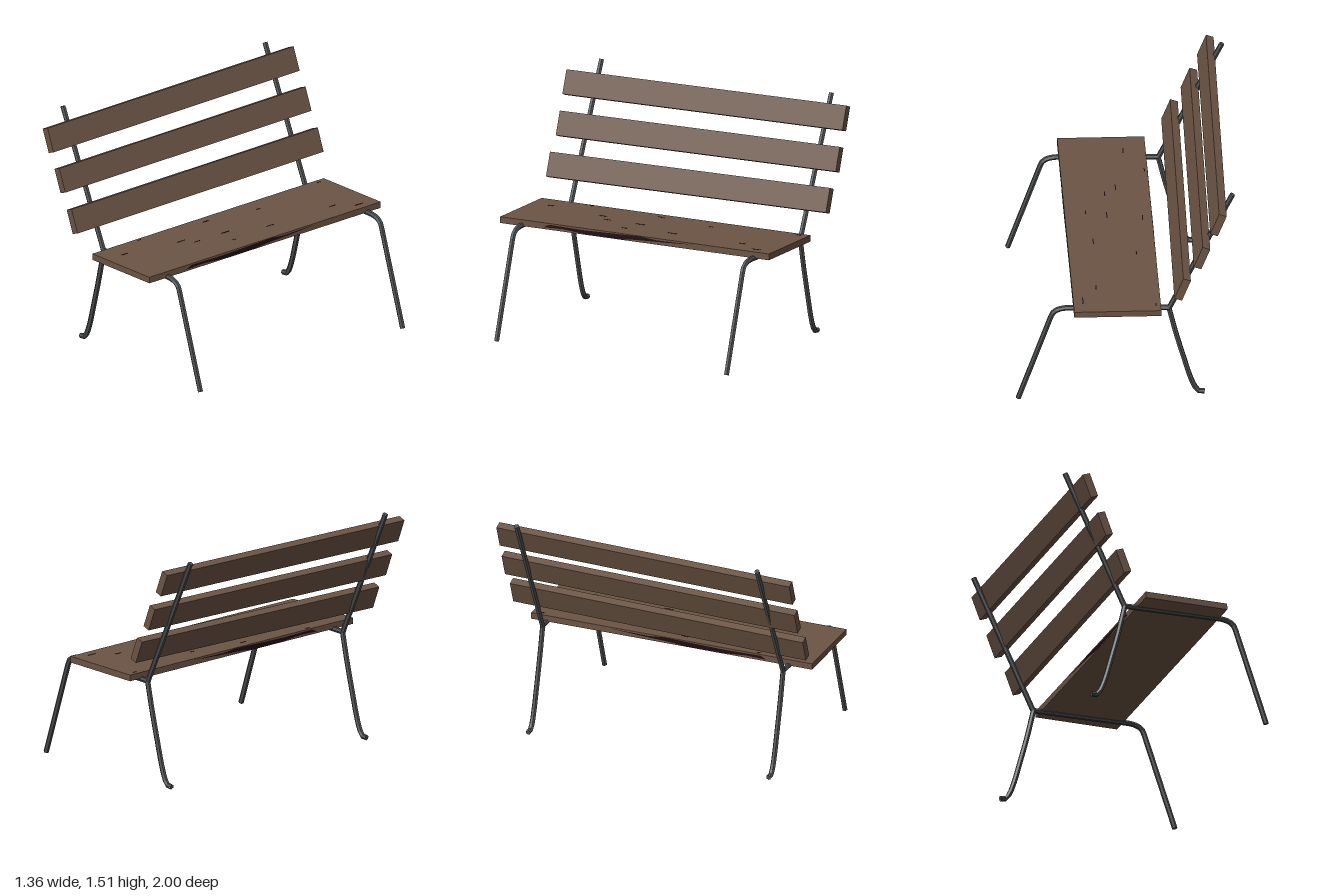
import * as THREE from 'three';

const wood = new THREE.MeshStandardMaterial({ color: 0x6b5444, flatShading: true });
wood.name = 'brown wood';
const metal = new THREE.MeshStandardMaterial({ color: 0x4b4e50, flatShading: true });
metal.name = 'grey metal';
const stain = new THREE.MeshStandardMaterial({ color: 0x1e0c12, side: THREE.DoubleSide });
stain.name = 'dark stain';

const RADIUS = 0.017;
const v = (x, y) => new THREE.Vector3(x, y, 0);

function mesh(name, geometry, material, parent) {
  const m = new THREE.Mesh(geometry, material);
  m.name = name;
  parent.add(m);
  return m;
}

// Six-sided bar along a curve, closed at both ends
function bar(name, curve, segments, parent) {
  const group = new THREE.Group();
  group.name = name;
  mesh(name + 'Tube', new THREE.TubeGeometry(curve, segments, RADIUS, 6), metal, group);
  for (const t of [0, 1]) {
    const cap = mesh(name + 'Cap', new THREE.CircleGeometry(RADIUS, 6), metal, group);
    const p = curve.getPointAt(t);
    cap.position.copy(p);
    cap.lookAt(p.clone().addScaledVector(curve.getTangentAt(t), t ? 1 : -1));
    cap.rotateZ(Math.PI / 2);
  }
  parent.add(group);
}

// One side frame: back post, seat rail running into the front leg, curved back leg
function sideFrame(name, z, parent) {
  const frame = new THREE.Group();
  frame.name = name;
  frame.position.z = z;
  bar('backPost', new THREE.LineCurve3(v(-0.268, 0.652), v(-0.664, 1.503)), 1, frame);

  const rail = new THREE.CurvePath();
  rail.add(new THREE.LineCurve3(v(-0.27, 0.662), v(0.35, 0.677)));
  rail.add(new THREE.QuadraticBezierCurve3(v(0.35, 0.677), v(0.435, 0.677), v(0.455, 0.63)));
  rail.add(new THREE.LineCurve3(v(0.455, 0.63), v(0.662, 0.008)));
  bar('seatRailAndFrontLeg', rail, 48, frame);

  const backLeg = new THREE.CatmullRomCurve3([
    v(-0.27, 0.662), v(-0.312, 0.476), v(-0.364, 0.276), v(-0.4, 0.144),
    v(-0.428, 0.068), v(-0.452, 0.032), v(-0.49, 0.027),
  ]);
  bar('backLeg', backLeg, 20, frame);
  parent.add(frame);
}

export function createModel() {
  const bench = new THREE.Group();
  bench.name = 'bench';

  sideFrame('leftFrame', -0.83, bench);
  sideFrame('rightFrame', 0.8, bench);

  // Backrest slats, slightly crooked
  [[-0.57, 1.367, 0.005], [-0.468, 1.128, -0.005], [-0.348, 0.893, -0.003]].forEach(([x, y, z]) => {
    const slat = mesh('backSlat', new THREE.BoxGeometry(0.05, 0.155, 1.985), wood, bench);
    slat.position.set(x, y, z);
    slat.rotation.set(0.015, 0, 0.365);
  });

  // Seat board, slightly askew
  const seat = new THREE.Group();
  seat.name = 'seat';
  seat.position.set(0.065, 0.691, 0.01);
  seat.rotation.set(0.002, 0.0155, 0.015);
  bench.add(seat);
  mesh('seatBoard', new THREE.BoxGeometry(0.54, 0.04, 1.89), wood, seat);

  // Irregular stains along the long edges
  const outline = [
    [-0.64, -0.008], [-0.6, 0.012], [-0.35, 0.008], [-0.1, 0.014], [0.05, 0.018], [0.15, 0.008],
    [0.42, 0.012], [0.2, 0], [0, -0.008], [-0.1, -0.018], [-0.35, -0.016], [-0.5, -0.004],
  ];
  const shape = new THREE.Shape(outline.map(([x, y]) => new THREE.Vector2(x, y)));
  for (const x of [0.2715, -0.2715]) {
    const patch = mesh('edgeStain', new THREE.ShapeGeometry(shape), stain, seat);
    patch.position.x = x;
    patch.rotation.y = Math.PI / 2;
  }

  // Small cracks along the grain on top
  [
    [-0.24, -0.88], [0.12, -0.68], [0.21, -0.82], [-0.15, -0.31], [-0.21, 0.07], [0.01, 0.1],
    [0.14, 0.14], [0.01, 0.33], [-0.06, 0.4], [-0.25, 0.58], [-0.13, 0.8], [0.11, -0.18],
  ].forEach(([x, z], i) => {
    const crack = mesh('crack', new THREE.BoxGeometry(0.006, 0.002, 0.03 + 0.015 * (i % 3)), stain, seat);
    crack.position.set(x, 0.0205, z);
  });

  return bench;
}
